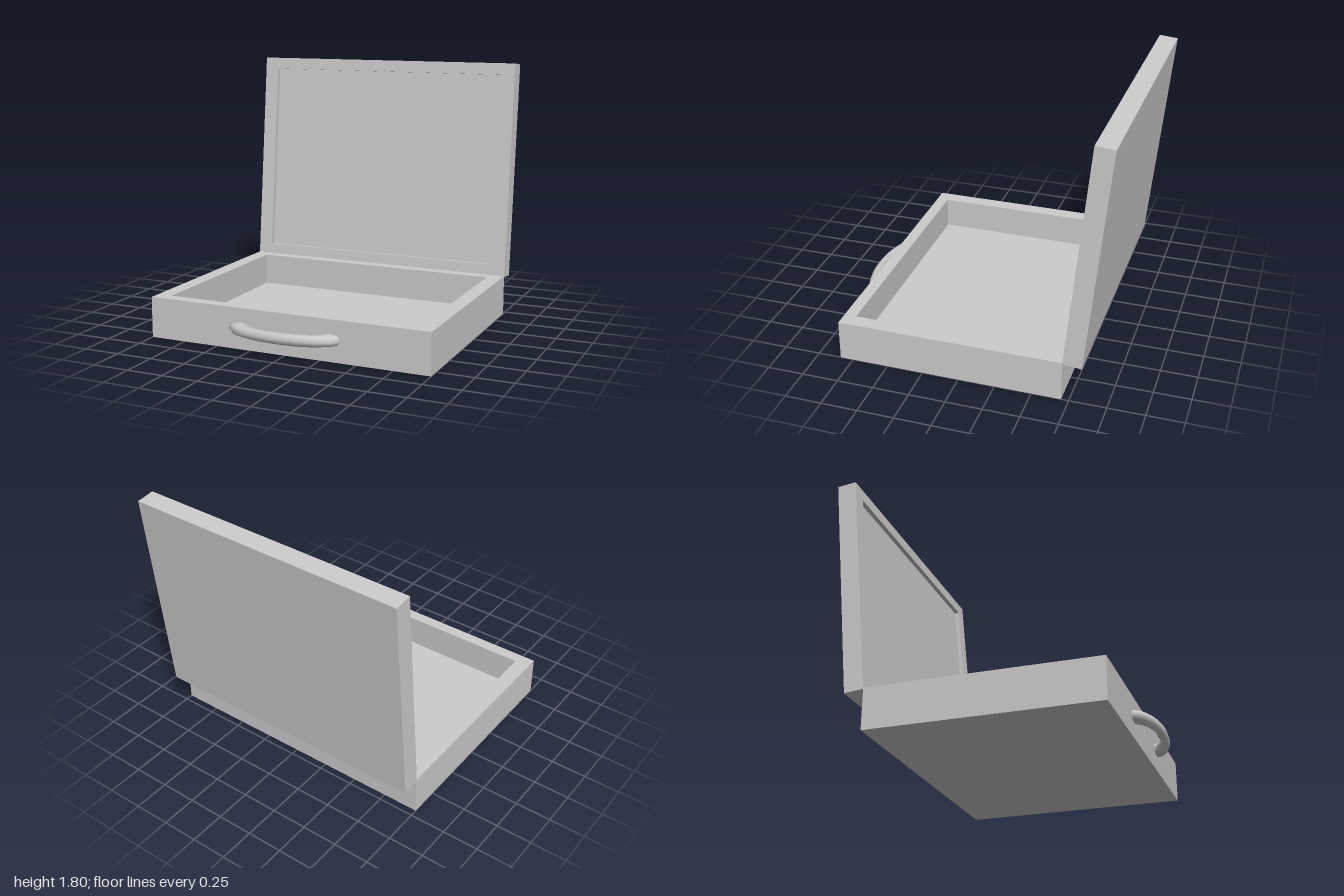
import * as THREE from 'three';

const material = new THREE.MeshStandardMaterial({ color: 0xcccccc });
const WIDTH = 2, DEPTH = 1.54, RIM_X = 0.105, RIM_Z = 0.083;

function rectangle(PathType, w, d) {
  const p = new PathType();
  p.moveTo(-w / 2, -d / 2);
  p.lineTo(w / 2, -d / 2);
  p.lineTo(w / 2, d / 2);
  p.lineTo(-w / 2, d / 2);
  p.closePath();
  return p;
}

// Open-topped shell: a solid floor plate carrying a rectangular rim
function makeShell(name, height, recess) {
  const shell = new THREE.Group();
  shell.name = name;
  const floorHeight = height - recess;

  const floor = new THREE.Mesh(new THREE.BoxGeometry(WIDTH, floorHeight, DEPTH), material);
  floor.name = name + 'Floor';
  floor.position.y = floorHeight / 2;

  const outline = rectangle(THREE.Shape, WIDTH, DEPTH);
  outline.holes.push(rectangle(THREE.Path, WIDTH - 2 * RIM_X, DEPTH - 2 * RIM_Z));
  const rimGeometry = new THREE.ExtrudeGeometry(outline, { depth: recess, bevelEnabled: false });
  rimGeometry.rotateX(-Math.PI / 2);
  const rim = new THREE.Mesh(rimGeometry, material);
  rim.name = name + 'Rim';
  rim.position.y = floorHeight;

  shell.add(floor, rim);
  return shell;
}

export function createModel() {
  const model = new THREE.Group();
  model.name = 'briefcase';

  // Deep lower half
  const base = makeShell('base', 0.28, 0.225);
  base.position.z = 0.07;
  model.add(base);

  // Shallow lid, hinged at the back and leaning slightly backwards
  const lid = makeShell('lid', 0.13, 0.03);
  lid.position.set(0, -0.13, -DEPTH / 2);
  const hinge = new THREE.Group();
  hinge.name = 'lidHinge';
  hinge.position.set(0, 0.272, -0.7);
  hinge.rotation.x = Math.PI / 2 - 0.1;
  hinge.add(lid);
  model.add(hinge);

  // Flattened half-ring handle on the front wall
  const handleGeometry = new THREE.TorusGeometry(0.322, 0.078, 8, 24, Math.PI);
  handleGeometry.rotateX(Math.PI / 2);
  handleGeometry.scale(1, 0.5, 0.355);
  const handle = new THREE.Mesh(handleGeometry, material);
  handle.name = 'handle';
  handle.position.set(0, 0.145, 0.835);
  model.add(handle);

  return model;
}
